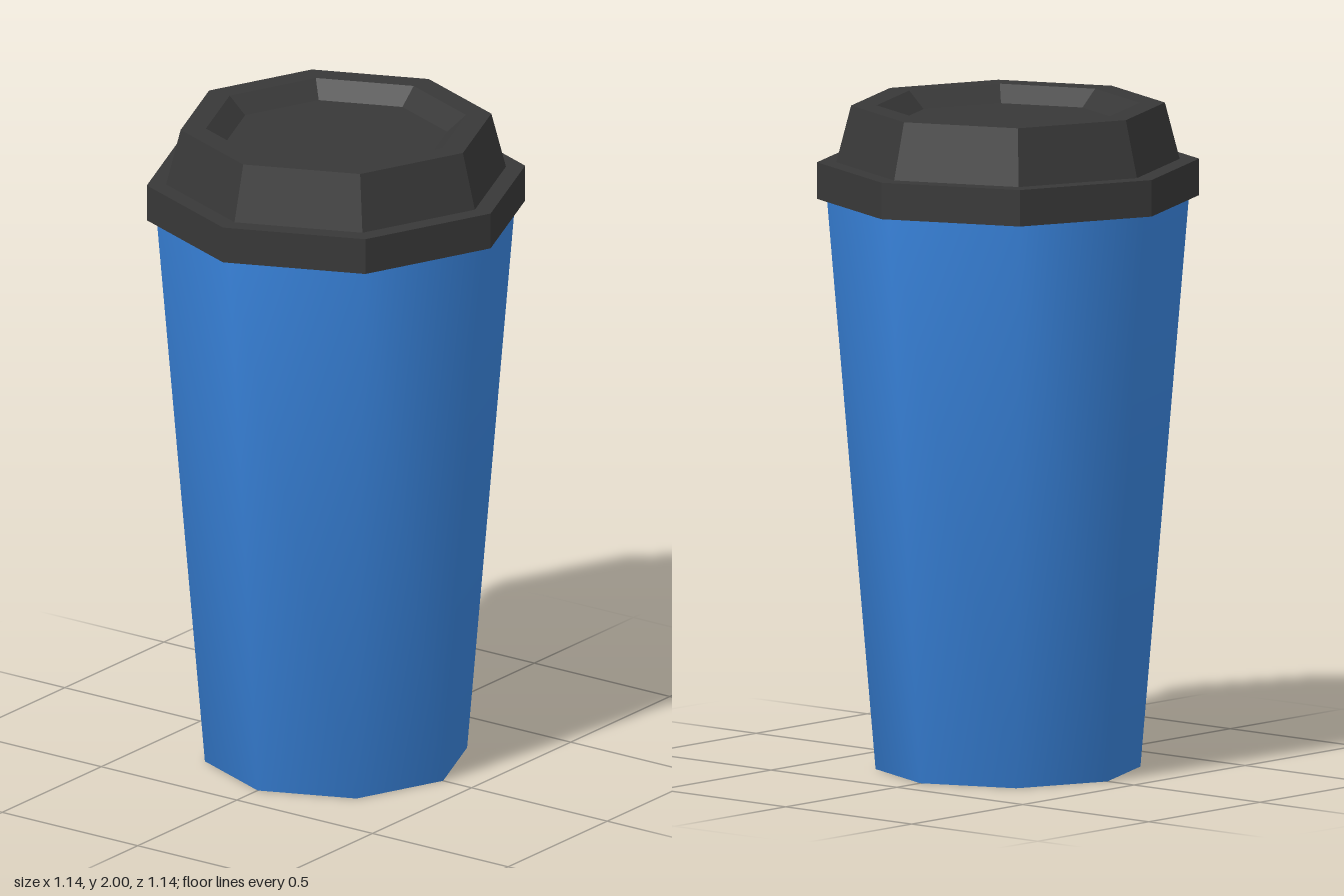
import * as THREE from 'three';

const SIDES = 8;

// Eight-sided turned part from [radius, height] pairs
function turned(name, profile, color, flatShading) {
  const points = profile.map(([r, y]) => new THREE.Vector2(r, y));
  const material = new THREE.MeshStandardMaterial({ color, flatShading });
  const mesh = new THREE.Mesh(new THREE.LatheGeometry(points, SIDES), material);
  mesh.name = name;
  return mesh;
}

export function createModel() {
  const group = new THREE.Group();
  group.name = 'takeawayCup';

  // Tapered cup with a flat base, smooth shaded
  group.add(turned('cupBody', [[0, 0], [0.395, 0], [0.54, 1.72]], 0x3a86e0, false));

  // Faceted lid: overhanging rim, sloped collar, sunken top
  group.add(turned('lid', [
    [0, 1.72], [0.57, 1.72], [0.57, 1.83], [0.512, 1.83],
    [0.468, 2], [0.392, 2], [0.335, 1.95], [0, 1.95],
  ], 0x383838, true));

  return group;
}
